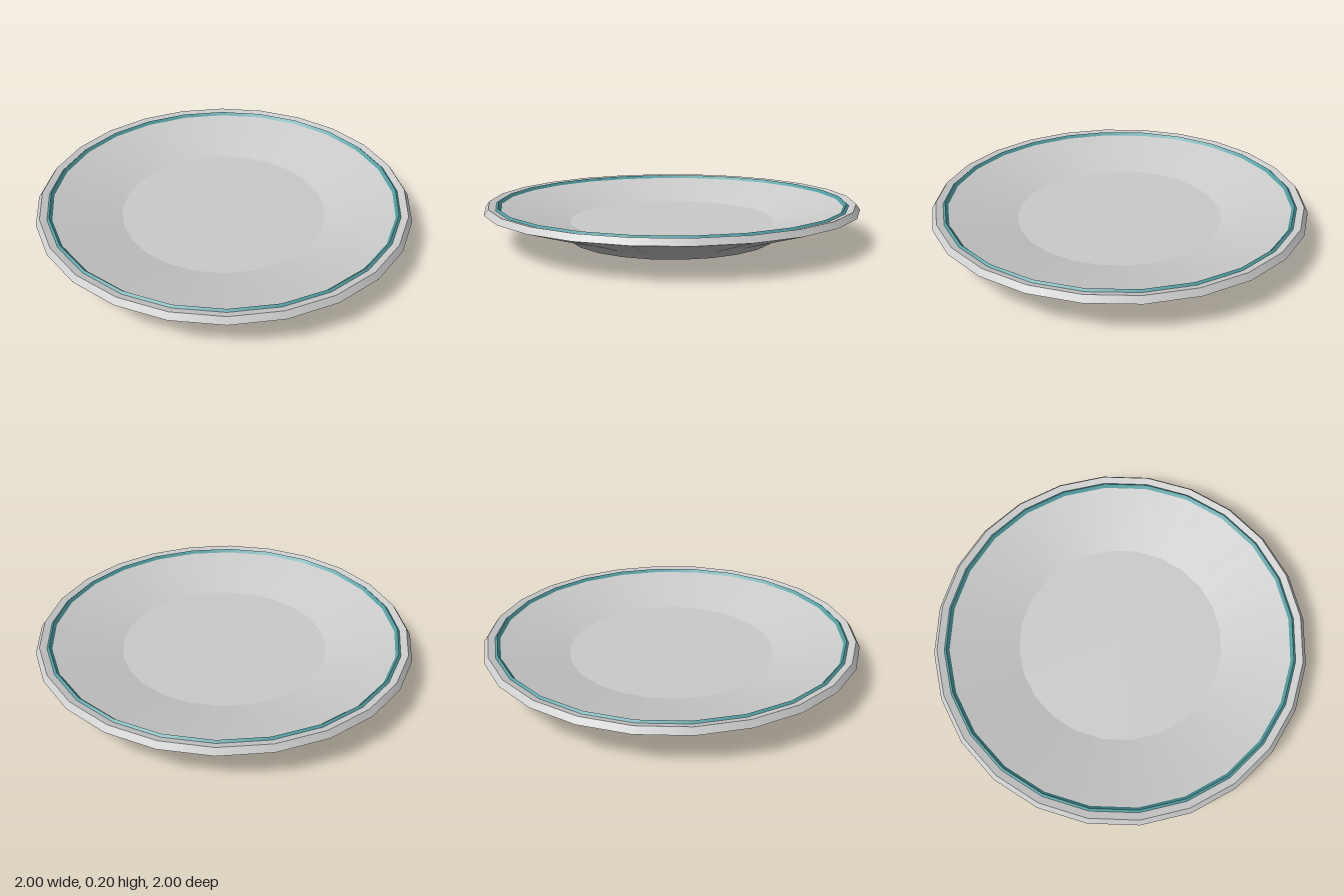
import * as THREE from 'three';

const SIDES = 24;

export function createModel() {
  const plate = new THREE.Group();
  plate.name = 'plate';
  const grey = new THREE.MeshStandardMaterial({ color: 0xcccccc });
  const teal = new THREE.MeshStandardMaterial({ color: 0x4f9ca0 });

  // Each band is its own lathe: smooth within, sharp where bands meet.
  const band = (name, profile, material) => {
    const points = profile.map(([r, y]) => new THREE.Vector2(r, y));
    const mesh = new THREE.Mesh(new THREE.LatheGeometry(points, SIDES), material);
    mesh.name = name;
    plate.add(mesh);
  };

  // Underside, from the centre outwards
  band('base', [[0, 0], [0.56, 0]], grey);
  band('underside', [[0.56, 0], [0.605, 0.04], [1, 0.17]], grey);

  // Rim and dish, from the edge back to the centre
  band('rim', [[1, 0.17], [0.978, 0.2]], grey);
  band('innerWall', [[0.978, 0.2], [0.555, 0.088]], grey);
  band('floor', [[0.555, 0.088], [0, 0.088]], grey);

  // Raised coloured ring just inside the rim
  band('ringOuterSlope', [[0.943, 0.189], [0.93, 0.2]], teal);
  band('ringInnerSlope', [[0.93, 0.2], [0.914, 0.182]], teal);

  return plate;
}
